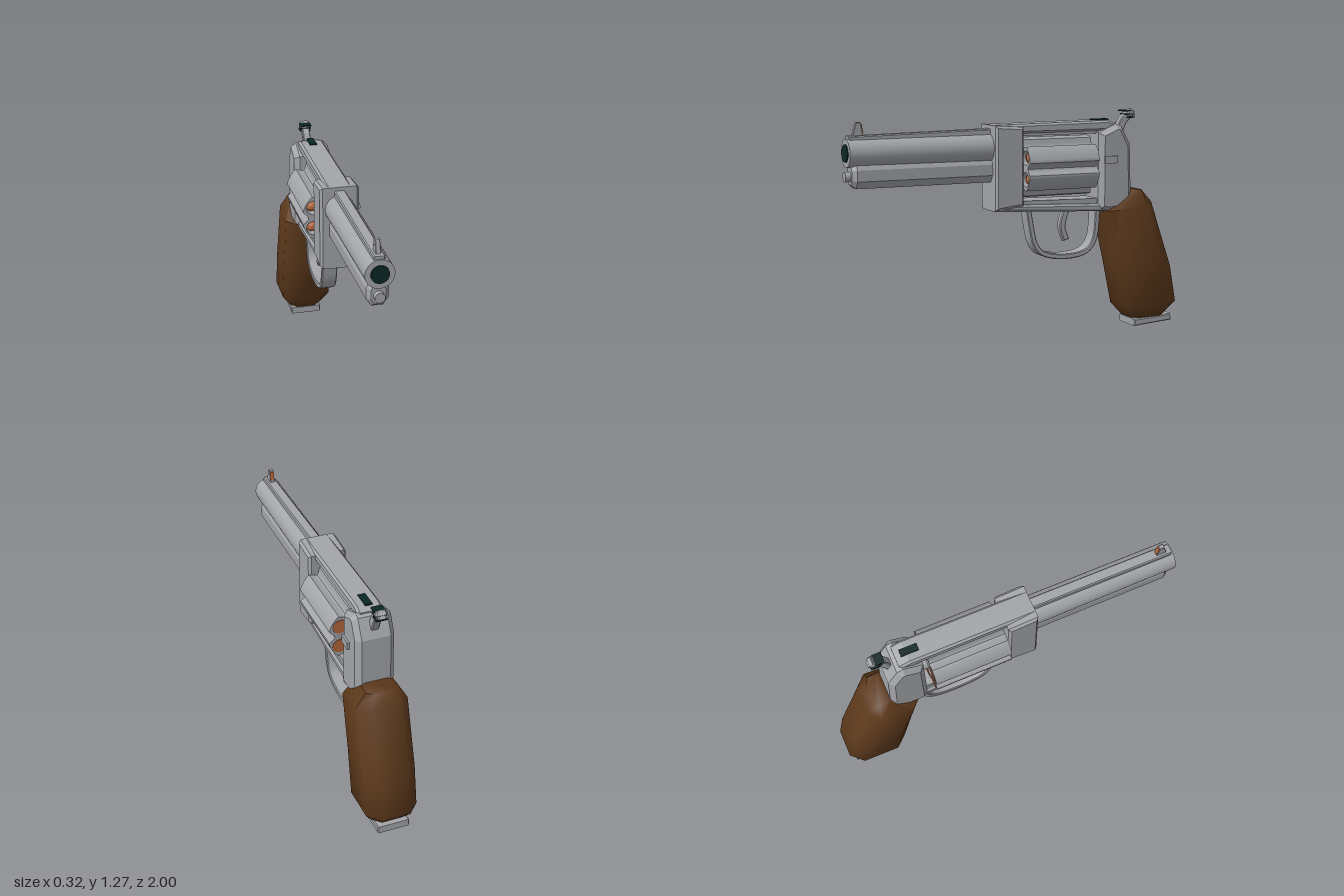
import * as THREE from 'three';
import { toCreasedNormals } from 'three/addons/utils/BufferGeometryUtils.js';

export function createModel() {
  const model = new THREE.Group();
  const mat = (name, color) => {
    const m = new THREE.MeshStandardMaterial({ color });
    m.name = name;
    return m;
  };
  const steel = mat('steel', 0xa3a5a9);
  const wood = mat('wood', 0x5e3a1c);
  const copper = mat('copper', 0xb9693f);
  const dark = mat('dark', 0x0b2826);

  const add = (name, geo, material, x = 0, y = 0, z = 0) => {
    const mesh = new THREE.Mesh(geo, material);
    mesh.name = name;
    mesh.position.set(x, y, z);
    model.add(mesh);
    return mesh;
  };
  const vec = (pts) => pts.map(([a, b]) => new THREE.Vector2(a, b));

  // Side outline in (z, y), extruded across x to half width w with bevel b
  const slab = (pts, w, b = 0.006) => {
    const g = new THREE.ExtrudeGeometry(new THREE.Shape(vec(pts)), {
      depth: 2 * (w - b), bevelEnabled: b > 0, bevelThickness: b,
      bevelSize: b, bevelOffset: -b, bevelSegments: 1,
    });
    return g.translate(0, 0, b - w).rotateY(-Math.PI / 2);
  };

  // Curved strip of even thickness following (z, y) points
  const strip = (pts, thick, w, b, n = 24) => {
    const curve = new THREE.SplineCurve(vec(pts));
    const outer = [], inner = [];
    for (let i = 0; i <= n; i++) {
      const p = curve.getPoint(i / n), t = curve.getTangent(i / n);
      const h = thick / 2;
      outer.push([p.x - t.y * h, p.y + t.x * h]);
      inner.unshift([p.x + t.y * h, p.y - t.x * h]);
    }
    return toCreasedNormals(slab([...outer, ...inner], w, b), 0.6);
  };

  // Rod along z
  const rod = (rFront, rBack, z0, z1, n = 32) =>
    new THREE.CylinderGeometry(rFront, rBack, z1 - z0, n)
      .rotateX(Math.PI / 2).translate(0, 0, (z0 + z1) / 2);

  // Barrel group
  add('barrel', rod(0.077, 0.081, 0.15, 0.99), steel, 0, 1.073);
  add('muzzleBore', rod(0.048, 0.048, 0.98, 0.997), dark, 0, 1.073);
  add('barrelRib', slab([[0.15, 1.1], [0.98, 1.1], [0.98, 1.165], [0.15, 1.18]], 0.03), steel);
  const lug = new THREE.ExtrudeGeometry(new THREE.Shape(vec([
    [-0.03, 0.885], [0.03, 0.885], [0.058, 0.925], [0.058, 0.985],
    [0.035, 1.03], [-0.035, 1.03], [-0.058, 0.985], [-0.058, 0.925],
  ])), { depth: 0.79, bevelThickness: 0.025, bevelSize: 0.02, bevelOffset: -0.02, bevelSegments: 1 });
  add('underLug', lug, steel, 0, 0, 0.155);
  add('ejectorRod', rod(0.027, 0.027, 0.9, 1.0, 20), steel, 0, 0.948);
  add('frontSight', slab([[0.955, 1.16], [0.945, 1.2], [0.935, 1.235], [0.91, 1.235], [0.895, 1.16]], 0.013, 0.003), steel);
  add('sightInsert', slab([[0.907, 1.18], [0.911, 1.228], [0.904, 1.228], [0.894, 1.18]], 0.011, 0), copper);

  // Frame around the cylinder window
  add('frameFront', slab([[0.17, 0.73], [0.17, 1.2], [0, 1.188], [0, 0.75]], 0.108, 0.014), steel);
  add('topStrap', slab([[0.165, 1.15], [0.165, 1.2], [-0.54, 1.208], [-0.6, 1.19], [-0.6, 1.15]], 0.07, 0.012), steel);
  add('topStrapLedge', slab([[0, 1.135], [0, 1.17], [-0.5, 1.17], [-0.5, 1.135]], 0.05, 0), steel);
  add('lowerStrap', slab([[0.17, 0.725], [0.17, 0.76], [0, 0.755], [-0.5, 0.735], [-0.54, 0.69]], 0.09, 0.012), steel);
  add('lowerStrapLedge', slab([[0, 0.72], [0, 0.775], [-0.5, 0.765], [-0.5, 0.71]], 0.07, 0), steel);
  add('frameRear', slab([
    [-0.475, 0.7], [-0.475, 1.14], [-0.585, 1.188], [-0.62, 1.175],
    [-0.677, 1.07], [-0.688, 0.75], [-0.65, 0.7], [-0.53, 0.688],
  ], 0.108, 0.028), steel);
  add('releaseLatch', new THREE.BoxGeometry(0.02, 0.042, 0.08), steel, 0.11, 0.988, -0.54);

  // Fluted cylinder with six chambers
  const cy = 0.957, chamberR = 0.12, step = Math.PI / 3;
  const outline = [];
  for (let i = 0; i < 120; i++) {
    const a = (i / 120) * Math.PI * 2;
    const off = Math.abs(a - Math.round(a / step) * step);
    const r = 0.168 - (off < 0.22 ? 0.036 * Math.cos((off / 0.22) * Math.PI / 2) : 0);
    outline.push([r * Math.cos(a), r * Math.sin(a)]);
  }
  const drum = new THREE.Shape(vec(outline));
  const bullet = new THREE.LatheGeometry(vec([
    [0, -0.442], [0.04, -0.442], [0.04, -0.1], [0.036, -0.05], [0.024, -0.022], [0, -0.012],
  ]), 20).rotateX(Math.PI / 2);
  for (let k = 0; k < 6; k++) {
    const a = (k + 0.5) * step, x = chamberR * Math.cos(a), y = chamberR * Math.sin(a);
    drum.holes.push(new THREE.Path().absarc(x, y, 0.0405, 0, Math.PI * 2, true));
    add('cartridge', toCreasedNormals(bullet, 0.8), copper, x, cy + y);
  }
  const drumGeo = new THREE.ExtrudeGeometry(drum, { depth: 0.432, bevelEnabled: false, curveSegments: 12 });
  add('cylinder', toCreasedNormals(drumGeo, 0.5), steel, 0, cy, -0.44);
  add('cylinderPin', rod(0.042, 0.042, -0.48, 0.01, 20), steel, 0, cy - 0.005);

  // Trigger and its guard
  add('triggerGuard', strip([
    [-0.06, 0.71], [-0.073, 0.63], [-0.1, 0.52], [-0.16, 0.46], [-0.29, 0.438],
    [-0.42, 0.46], [-0.48, 0.54], [-0.495, 0.7],
  ], 0.03, 0.044, 0.005, 36), steel);
  add('trigger', strip([[-0.315, 0.72], [-0.292, 0.66], [-0.283, 0.6], [-0.307, 0.53]], 0.036, 0.02, 0.005), steel);

  // Hammer with dark grip ridges, and the rear sight notch
  add('hammer', strip([[-0.615, 1.08], [-0.645, 1.14], [-0.675, 1.205], [-0.735, 1.25]], 0.045, 0.022, 0.005), steel);
  add('hammerSpur', slab([[-0.685, 1.235], [-0.715, 1.268], [-0.74, 1.25], [-0.715, 1.215]], 0.029, 0.006), steel);
  [[1.256, -0.685], [1.236, -0.7], [1.218, -0.712]].forEach(([y, z]) =>
    add('hammerRidge', new THREE.BoxGeometry(0.062, 0.006, 0.05), dark, 0, y, z));
  add('rearSight', new THREE.BoxGeometry(0.04, 0.008, 0.1), dark, 0, 1.21, -0.52);

  // Grip: chamfered cross-sections given as front (z, y), back (z, y), half width
  const stations = [
    [-0.71, 0.048, -0.93, 0.052, 0.095],
    [-0.65, 0.12, -0.998, 0.13, 0.145],
    [-0.59, 0.4, -0.96, 0.34, 0.145],
    [-0.52, 0.69, -0.825, 0.73, 0.145],
    [-0.68, 0.815, -0.775, 0.8, 0.09],
  ];
  const ring = [[1, 0.2], [1, 0.8], [0.55, 1], [-0.55, 1], [-1, 0.8], [-1, 0.2], [-0.55, 0], [0.55, 0]];
  const pos = [], idx = [], n = ring.length, top = (stations.length - 1) * n;
  stations.forEach(([fz, fy, bz, by, w], s) => {
    ring.forEach(([u, t], i) => {
      pos.push(u * w, fy + (by - fy) * t, fz + (bz - fz) * t);
      const a = s * n + i, b = s * n + ((i + 1) % n);
      if (s < stations.length - 1) idx.push(a, b, b + n, a, b + n, a + n);
    });
  });
  for (let i = 1; i < n - 1; i++) idx.push(top, top + i, top + i + 1, 0, i + 1, i);
  const grip = new THREE.BufferGeometry();
  grip.setAttribute('position', new THREE.Float32BufferAttribute(pos, 3));
  grip.setIndex(idx);
  add('grip', toCreasedNormals(grip, 1.0), wood);
  add('buttPlate', slab([[-0.717, 0.002], [-0.717, 0.042], [-0.963, 0.058], [-0.965, 0.018]], 0.092, 0.006), steel);

  return model;
}
